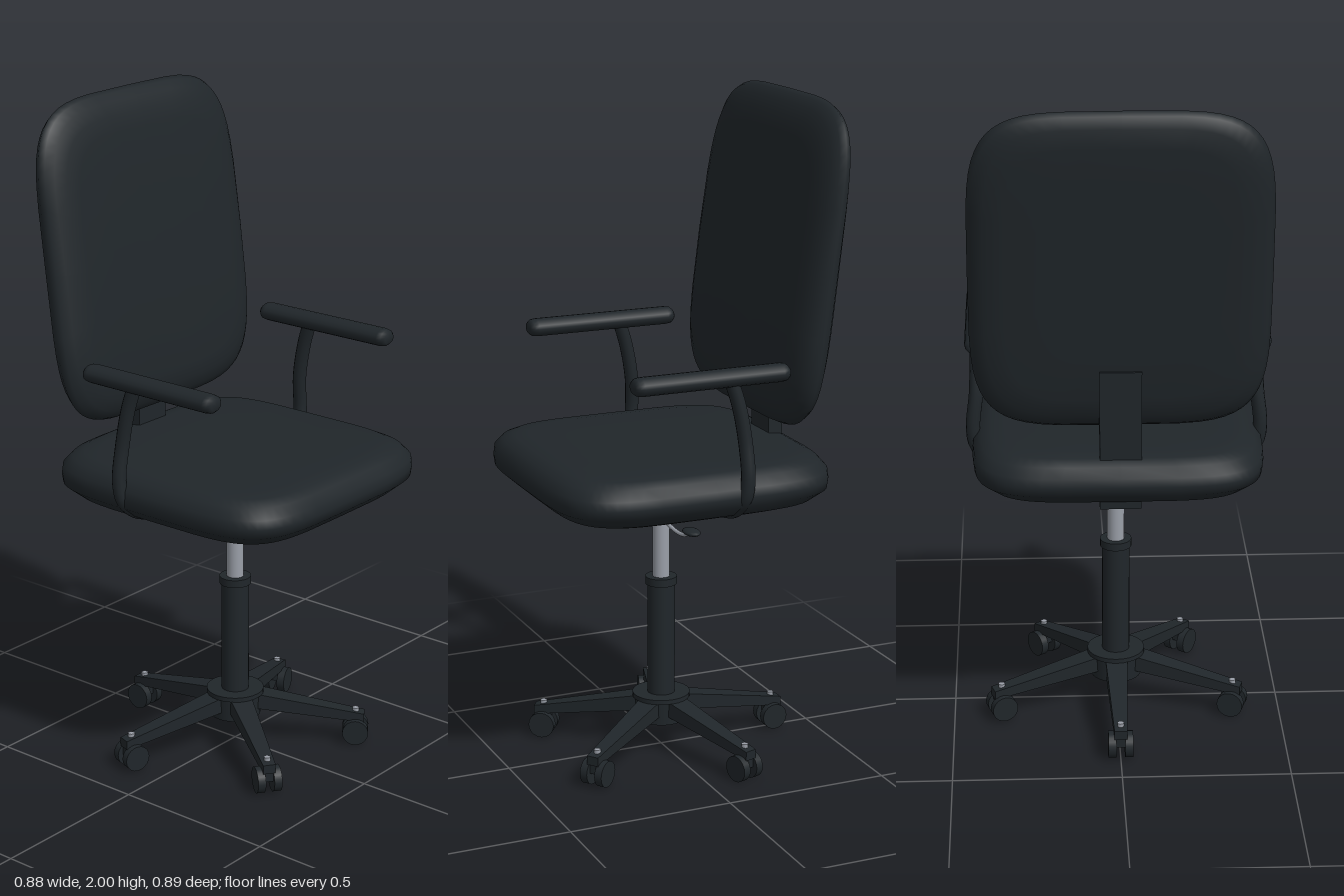
import * as THREE from 'three';

const dark = new THREE.MeshStandardMaterial({ color: 0x20262a });
const silver = new THREE.MeshStandardMaterial({ color: 0x9a9fa8 });

function add(parent, name, geometry, material = dark, x = 0, y = 0, z = 0) {
  const mesh = new THREE.Mesh(geometry, material);
  mesh.name = name;
  mesh.position.set(x, y, z);
  parent.add(mesh);
  return mesh;
}

// Cushion: superellipse rings [t, inset] stacked through the thickness;
// place(u, v, t) puts each point in space
function cushion(a, b, rings, place) {
  const n = 56, pos = [], index = [];
  const pow = (k) => Math.sign(k) * Math.abs(k) ** 0.42;
  for (const [t, inset] of rings) {
    for (let i = 0; i < n; i++) {
      const th = (i / n) * Math.PI * 2;
      pos.push(...place((a - inset) * pow(Math.cos(th)), (b - inset) * pow(Math.sin(th)), t));
    }
  }
  for (let r = 0; r < rings.length - 1; r++) {
    for (let i = 0; i < n; i++) {
      const j = (i + 1) % n;
      const p = r * n + i, q = r * n + j;
      index.push(p, q + n, q, p, p + n, q + n);
    }
  }
  // centre points closing both faces
  const low = pos.length / 3, last = (rings.length - 1) * n;
  pos.push(...place(0, 0, rings[0][0]), ...place(0, 0, rings[rings.length - 1][0]));
  for (let i = 0; i < n; i++) {
    const j = (i + 1) % n;
    index.push(low, i, j, low + 1, last + j, last + i);
  }
  const g = new THREE.BufferGeometry();
  g.setAttribute('position', new THREE.Float32BufferAttribute(pos, 3));
  g.setIndex(index);
  g.computeVertexNormals();
  return g;
}

function tube(points, radius) {
  const curve = new THREE.CatmullRomCurve3(points.map((p) => new THREE.Vector3(...p)));
  return new THREE.TubeGeometry(curve, 28, radius, 12);
}

export function createModel() {
  const chair = new THREE.Group();
  chair.name = 'officeChair';

  // Seat cushion
  const seatRings = [[0, 0.2], [0, 0.08], [0.1, 0.04], [0.32, 0.003], [0.5, 0], [0.68, 0.003],
    [0.86, 0.025], [0.96, 0.055], [1, 0.1], [1, 0.22]];
  add(chair, 'seat', cushion(0.432, 0.428, seatRings,
    (u, v, t) => [u + 0.01, 0.822 + 0.15 * t, v]));

  // Backrest, leaning back and thinning towards the top
  const backRings = [[0, 0.22], [0.01, 0.1], [0.1, 0.045], [0.28, 0.012], [0.48, 0], [0.66, 0.008],
    [0.82, 0.03], [0.94, 0.065], [0.99, 0.11], [1, 0.22]];
  add(chair, 'backrest', cushion(0.427, 0.48, backRings, (u, v, t) => {
    const y = 1.52 + v, s = Math.max(0, (y - 1.1) / 0.87);
    const rear = -0.35 - 0.115 * (y - 1.1);
    const front = -0.24 - 0.12 * s ** 1.4;
    return [rear + (front - rear) * t, y, u];
  }));
  add(chair, 'backrestPost', new THREE.BoxGeometry(0.045, 0.42, 0.12), dark, -0.35, 1.02, 0);

  // Armrests with curved supports
  for (const side of [1, -1]) {
    const name = side > 0 ? 'left' : 'right';
    const r = 0.036;
    const pad = new THREE.LatheGeometry([[0, -0.24], [0.022, -0.24], [0.033, -0.23], [r, -0.215],
      [r, 0.215], [0.033, 0.23], [0.022, 0.24], [0, 0.24]].map((p) => new THREE.Vector2(...p)), 16);
    pad.rotateZ(-Math.PI / 2);
    pad.scale(1, 0.76, 1);
    add(chair, name + 'ArmPad', pad, dark, 0.025, 1.252, side * 0.407);
    add(chair, name + 'ArmSupport', tube([[-0.035, 1.25, 0.407], [-0.06, 1.17, 0.41],
      [-0.08, 1.06, 0.414], [-0.085, 0.95, 0.425], [-0.08, 0.89, 0.415], [-0.07, 0.845, 0.37],
      [-0.06, 0.83, 0.31]].map(([x, y, z]) => [x, y, side * z]), 0.021));
  }

  // Tilt mechanism and its lever
  const outline = new THREE.Shape();
  outline.moveTo(-0.175, -0.135).lineTo(0.155, -0.135).lineTo(0.155, 0.135).lineTo(-0.175, 0.135);
  const plate = new THREE.ExtrudeGeometry(outline,
    { depth: 0.031, bevelThickness: 0.012, bevelSize: 0.012, bevelSegments: 2 });
  plate.rotateX(-Math.PI / 2);
  add(chair, 'mechanismPlate', plate, dark, 0, 0.779, 0);
  add(chair, 'leverRod', tube([[0.07, 0.785, -0.13], [0.07, 0.777, -0.2], [0.07, 0.771, -0.28],
    [0.07, 0.778, -0.33], [0.07, 0.798, -0.37]], 0.006), silver);
  const grip = new THREE.SphereGeometry(1, 16, 10);
  grip.scale(0.024, 0.01, 0.038);
  add(chair, 'leverGrip', grip, dark, 0.07, 0.8, -0.375);

  // Gas column
  add(chair, 'piston', new THREE.CylinderGeometry(0.026, 0.026, 0.28, 24), silver, 0, 0.65, 0);
  add(chair, 'columnSleeve', new THREE.CylinderGeometry(0.042, 0.042, 0.41, 24), dark, 0, 0.33, 0);
  add(chair, 'columnCollar', new THREE.CylinderGeometry(0.048, 0.048, 0.024, 24), dark, 0, 0.533, 0);
  add(chair, 'hub', new THREE.CylinderGeometry(0.082, 0.078, 0.075, 28), dark, 0, 0.126, 0);
  add(chair, 'hubCap', new THREE.CylinderGeometry(0.088, 0.088, 0.014, 28), dark, 0, 0.166, 0);

  // Five legs with twin-wheel casters
  for (let i = 0; i < 5; i++) {
    const leg = new THREE.Group();
    leg.name = 'leg' + (i + 1);
    leg.rotation.y = Math.PI + (i * Math.PI * 2) / 5;
    chair.add(leg);

    // sloping, tapering beam
    const beam = new THREE.BoxGeometry(0.36, 1, 1);
    const p = beam.attributes.position;
    for (let k = 0; k < p.count; k++) {
      const t = p.getX(k) / 0.36 + 0.5;
      p.setXYZ(k, 0.04 + 0.36 * t, 0.143 - 0.06 * t + p.getY(k) * (0.05 - 0.022 * t),
        p.getZ(k) * (0.07 - 0.032 * t));
    }
    beam.computeVertexNormals();
    add(leg, 'legBeam', beam);
    add(leg, 'casterPin', new THREE.CylinderGeometry(0.01, 0.01, 0.07, 12), silver, 0.373, 0.077, 0);
    add(leg, 'casterHousing', new THREE.BoxGeometry(0.045, 0.035, 0.028), dark, 0.373, 0.058, 0);
    for (const side of [1, -1]) {
      const wheel = new THREE.CylinderGeometry(0.04, 0.04, 0.024, 20);
      wheel.rotateX(Math.PI / 2);
      add(leg, 'casterWheel', wheel, dark, 0.373, 0.04, side * 0.025);
    }
  }
  return chair;
}
